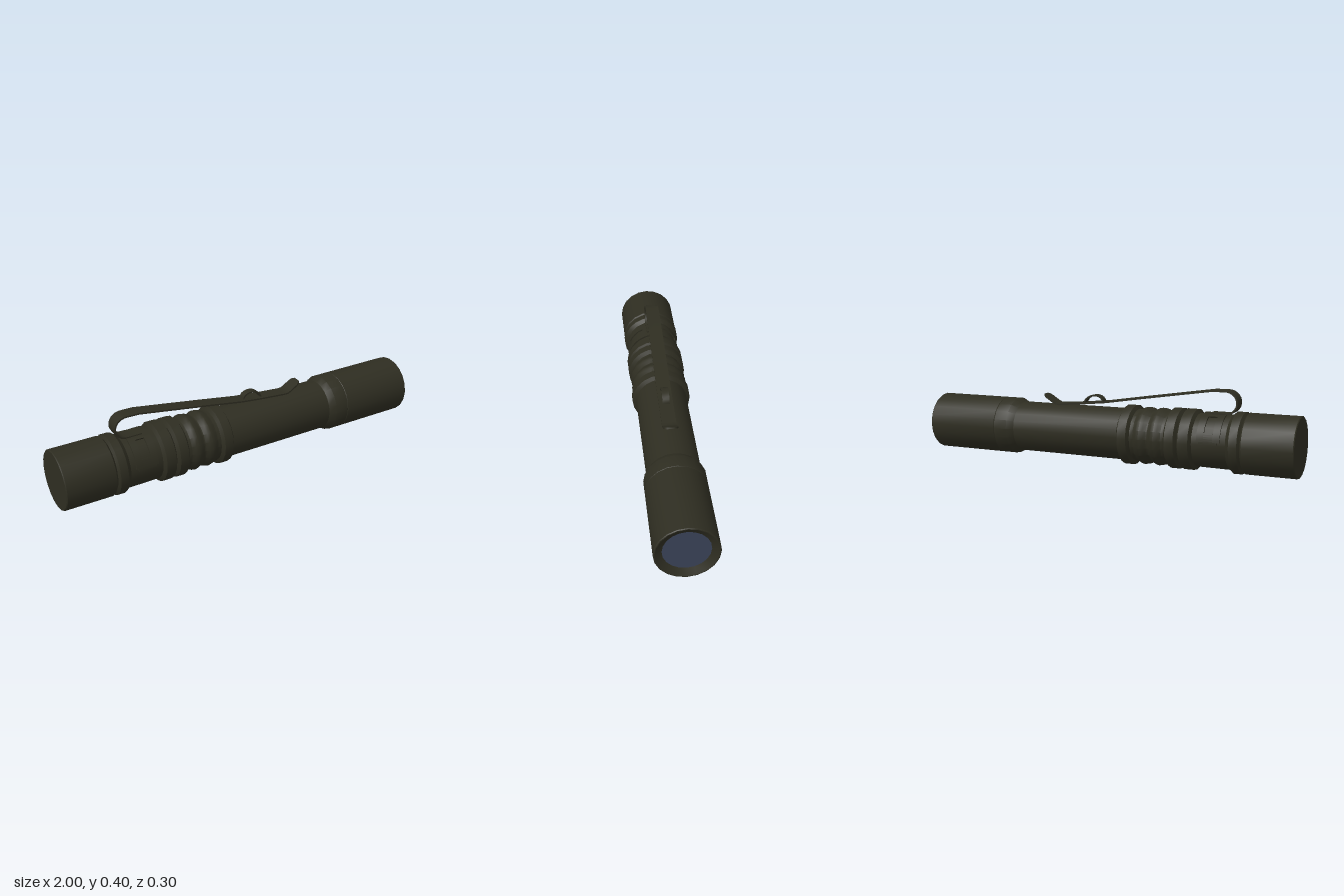
import * as THREE from 'three';
import { toCreasedNormals } from 'three/addons/utils/BufferGeometryUtils.js';

const AXIS_Y = 0.152;
const SIDES = 20;

export function createModel() {
  const group = new THREE.Group();
  const olive = new THREE.MeshStandardMaterial({ color: 0x2e2d21 });
  olive.name = 'dark olive metal';
  const glass = new THREE.MeshStandardMaterial({ color: 0x3a4358 });
  glass.name = 'blue grey glass';

  const add = (name, geometry, material = olive) => {
    const mesh = new THREE.Mesh(geometry, material);
    mesh.name = name;
    group.add(mesh);
    return mesh;
  };

  // Turned part: profile of [x, radius] pairs, spun about the torch's long axis
  const turned = (name, profile) => {
    const g = new THREE.LatheGeometry(profile.map(([x, r]) => new THREE.Vector2(r, x)), SIDES);
    g.rotateZ(-Math.PI / 2);
    add(name, toCreasedNormals(g, 0.5)).position.y = AXIS_Y;
  };

  // Grip rib rising from the tube to radius r
  const rib = (x0, x1, r = 0.152, base = 0.133, s = 0.012) =>
    [[x0, base], [x0 + s, r], [x1 - s, r], [x1, base]];
  const bump = (x) => [[x - 0.035, 0.133], [x - 0.018, 0.142], [x, 0.146], [x + 0.018, 0.142], [x + 0.035, 0.133]];

  turned('tailCap', [[-1, 0], [-1, 0.146], [-0.996, 0.15], [-0.75, 0.15], [-0.74, 0.138]]);
  turned('bodyTube', [
    [-0.74, 0.138],
    [-0.73, 0.152], [-0.69, 0.152], [-0.67, 0.135],
    ...rib(-0.5, -0.425), ...rib(-0.425, -0.355),
    ...bump(-0.305), ...bump(-0.228),
    ...rib(-0.175, -0.105),
    [0.49, 0.132],
  ]);
  turned('headCollar', [[0.49, 0.132], [0.525, 0.15], [0.598, 0.15], [0.6, 0.148]]);
  turned('head', [
    [0.6, 0.148], [0.602, 0.15], [0.996, 0.15], [1, 0.147], [1, 0.143], [0.98, 0.11],
  ]);

  // Lens set inside the bezel
  const lens = add('lens', new THREE.CircleGeometry(0.11, SIDES).rotateY(Math.PI / 2), glass);
  lens.position.set(0.98, AXIS_Y, 0);

  // Closed strip of metal: path of [x, y, halfWidth], with a thin rectangular section
  const strip = (path, t = 0.004) => {
    const pos = [], idx = [];
    path.forEach(([x, y, w], i) => {
      const a = path[Math.max(i - 1, 0)], b = path[Math.min(i + 1, path.length - 1)];
      const dx = b[0] - a[0], dy = b[1] - a[1], l = Math.hypot(dx, dy);
      const nx = -dy / l * t, ny = dx / l * t;
      pos.push(x + nx, y + ny, w, x + nx, y + ny, -w, x - nx, y - ny, -w, x - nx, y - ny, w);
      if (i === 0) return;
      for (let k = 0; k < 4; k++) {
        const p = (i - 1) * 4 + k, q = (i - 1) * 4 + (k + 1) % 4;
        idx.push(p, p + 4, q, q, p + 4, q + 4);
      }
    });
    const e = (path.length - 1) * 4;
    idx.push(0, 1, 2, 0, 2, 3, e, e + 2, e + 1, e, e + 3, e + 2);
    const g = new THREE.BufferGeometry();
    g.setAttribute('position', new THREE.Float32BufferAttribute(pos, 3));
    g.setIndex(idx);
    return toCreasedNormals(g, 0.7);
  };

  // Pocket clip: curled root, long sloping arm, flicked-up rounded tip
  const clip = [[-0.56, 0.289, 0.035], [-0.62, 0.289, 0.035]];
  for (let i = 0; i <= 12; i++) {
    const a = -Math.PI / 2 - 0.2 - (i / 12) * (Math.PI - 0.1);
    clip.push([-0.635 + 0.06 * Math.cos(a), 0.345 + 0.056 * Math.sin(a), 0.036]);
  }
  clip.push([-0.57, 0.4, 0.036], [-0.4, 0.374, 0.036], [-0.2, 0.343, 0.036], [0, 0.311, 0.036],
    [0.12, 0.298, 0.036], [0.26, 0.286, 0.036], [0.285, 0.286, 0.036], [0.305, 0.296, 0.036],
    [0.34, 0.318, 0.036], [0.354, 0.327, 0.03], [0.362, 0.332, 0.018]);
  add('pocketClip', strip(clip));

  // Raised loop pressed into the clip arm
  const loop = [];
  for (let i = 0; i <= 10; i++) {
    const a = Math.PI * (1 - i / 10);
    loop.push([0.075 + 0.052 * Math.cos(a), 0.303 + 0.037 * Math.sin(a) - 0.006 * Math.cos(a), 0.018]);
  }
  add('clipLoop', strip(loop));

  // Curved plate hugging the tube between two angles (0 is the side facing +z, 90 is the top)
  const plate = (name, x0, x1, deg0, deg1, r = 0.14, base = 0.128) => {
    const shape = new THREE.Shape();
    const a0 = THREE.MathUtils.degToRad(deg0), a1 = THREE.MathUtils.degToRad(deg1);
    shape.absarc(0, 0, r, a0, a1, false);
    shape.absarc(0, 0, base, a1, a0, true);
    const g = new THREE.ExtrudeGeometry(shape, { depth: x1 - x0, bevelEnabled: false, curveSegments: 16 });
    g.rotateY(-Math.PI / 2);
    g.translate(x1, 0, 0);
    add(name, toCreasedNormals(g, 0.5)).position.y = AXIS_Y;
  };

  // Clip saddle: two hoops over the tube, joined by feet with a slot between them
  plate('saddleHoopRear', -0.643, -0.608, 6, 174);
  plate('saddleHoopFront', -0.562, -0.527, 6, 174);
  for (const side of [1, -1]) {
    const span = (a, b) => (side > 0 ? [a, b] : [180 - b, 180 - a]);
    plate('saddleFoot', -0.608, -0.562, ...span(6, 24));
    plate('saddleFootEdge', -0.632, -0.538, ...span(2, 6));
  }
  plate('saddleBridge', -0.608, -0.562, 66, 114);

  return group;
}
